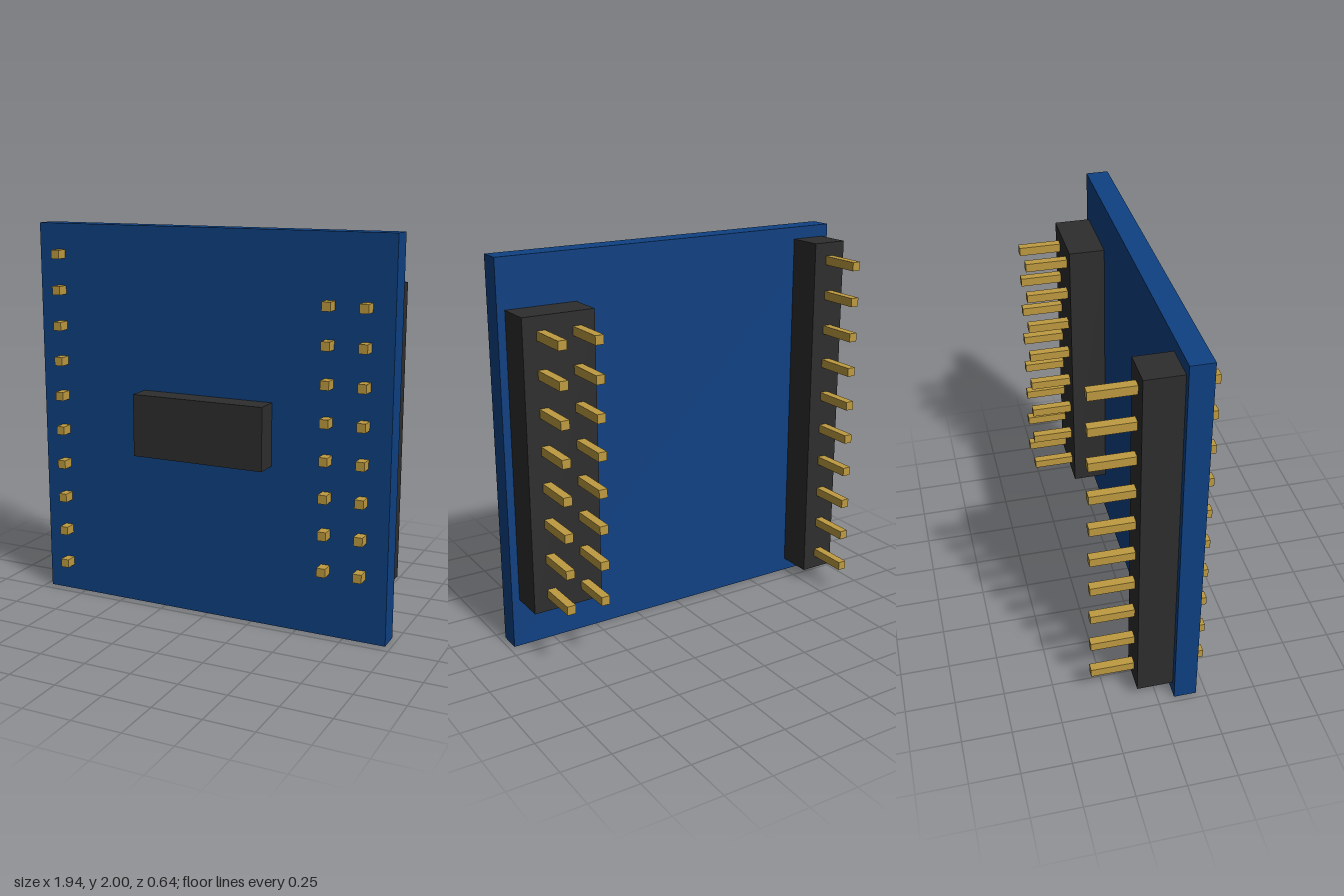
import * as THREE from 'three';

const material = (name, color) => {
  const m = new THREE.MeshStandardMaterial({ color });
  m.name = name;
  return m;
};

// Box given by its extents on each axis
function block(name, mat, [x0, x1], [y0, y1], [z0, z1]) {
  const mesh = new THREE.Mesh(new THREE.BoxGeometry(x1 - x0, y1 - y0, z1 - z0), mat);
  mesh.position.set((x0 + x1) / 2, (y0 + y1) / 2, (z0 + z1) / 2);
  mesh.name = name;
  return mesh;
}

export function createModel() {
  const blue = material('board blue', 0x0e4182);
  const black = material('plastic black', 0x2e2e2e);
  const gold = material('pin gold', 0xbe9b40);
  const model = new THREE.Group();
  model.name = 'circuitBoard';

  // Board and chip
  model.add(block('board', blue, [-0.97, 0.97], [0, 2], [0.085, 0.2]));
  model.add(block('chip', black, [-0.358, 0.356], [0.84, 1.162], [0.2, 0.32]));

  // Pin headers: plastic strip behind the board, pins running through both
  const pitch = 0.1867, half = 0.0225, middle = 1.003;
  function header(name, columns, rows) {
    const group = new THREE.Group();
    group.name = name;
    const halfHeight = rows * pitch / 2;
    group.add(block('headerStrip', black,
      [columns[0] - pitch / 2, columns[columns.length - 1] + pitch / 2],
      [middle - halfHeight, middle + halfHeight], [-0.1, 0.085]));
    for (const x of columns) {
      for (let i = 0; i < rows; i++) {
        const y = middle + (i - (rows - 1) / 2) * pitch;
        group.add(block('pin', gold, [x - half, x + half], [y - half, y + half], [-0.32, 0.262]));
      }
    }
    model.add(group);
  }
  header('singleRowHeader', [-0.842], 10);
  header('doubleRowHeader', [0.65, 0.65 + pitch], 8);

  return model;
}
